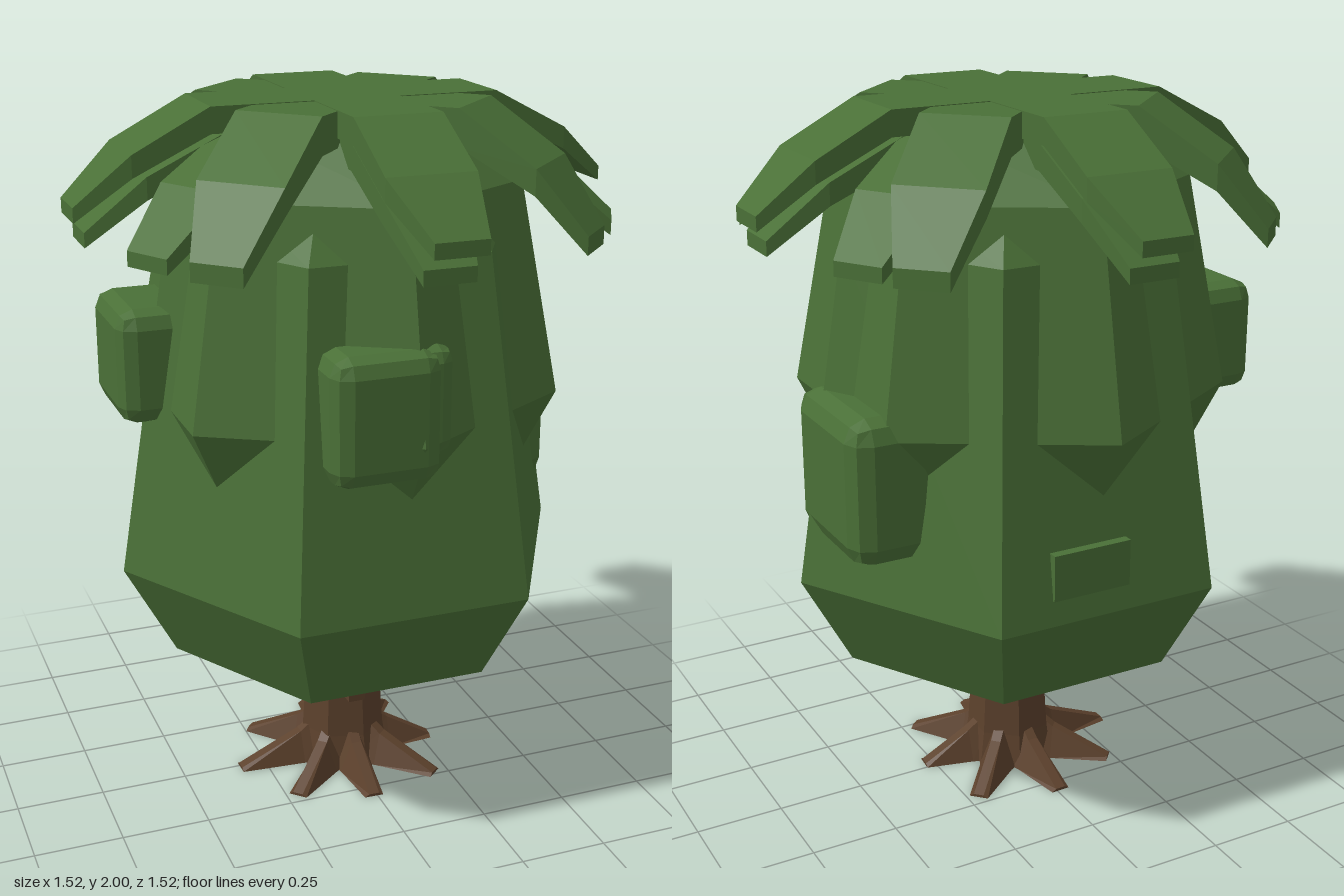
import * as THREE from 'three';
import { RoundedBoxGeometry } from 'three/addons/geometries/RoundedBoxGeometry.js';

const leafGreen = new THREE.MeshStandardMaterial({ color: 0x4a7037 });
leafGreen.name = 'leafGreen';
const barkBrown = new THREE.MeshStandardMaterial({ color: 0x5c412c });
barkBrown.name = 'barkBrown';

// Faceted mesh: every face gets its own flat normal
function facet(name, geometry, material) {
  const g = geometry.index ? geometry.toNonIndexed() : geometry;
  g.computeVertexNormals();
  const mesh = new THREE.Mesh(g, material);
  mesh.name = name;
  return mesh;
}

// Turned solid with few sides; profile is [radius, y] from bottom to top
function turned(name, profile, sides, material, turn = 0) {
  const pts = profile.map(([r, y]) => new THREE.Vector2(r, y));
  const mesh = facet(name, new THREE.LatheGeometry(pts, sides), material);
  mesh.rotation.y = turn;
  return mesh;
}

// Bent bar along +x; each section is [r, top, bottom, halfWidthTop, halfWidthBottom, shift]
function bar(name, sections, degrees, material) {
  const n = sections.length - 1;
  const g = new THREE.BoxGeometry(1, 1, 1, n, 1, 1);
  const p = g.attributes.position;
  for (let i = 0; i < p.count; i++) {
    const [r, top, bottom, wt, wb, shift = 0] = sections[Math.round((p.getX(i) + 0.5) * n)];
    const up = p.getY(i) > 0;
    p.setXYZ(i, r, up ? top : bottom, Math.sign(p.getZ(i)) * (up ? wt : wb) + shift);
  }
  const mesh = facet(name, g, material);
  mesh.rotation.y = -THREE.MathUtils.degToRad(degrees);
  return mesh;
}

// Box given by its ranges, with cut edges when bevel > 0
function block(name, [x0, x1], [y0, y1], [z0, z1], bevel, material) {
  const size = [x1 - x0, y1 - y0, z1 - z0];
  const g = bevel ? new RoundedBoxGeometry(...size, 1, bevel) : new THREE.BoxGeometry(...size);
  const mesh = facet(name, g, material);
  mesh.position.set((x0 + x1) / 2, (y0 + y1) / 2, (z0 + z1) / 2);
  return mesh;
}

export function createModel() {
  const tree = new THREE.Group();
  tree.name = 'tree';

  // Trunk with spreading roots
  const trunk = new THREE.Group();
  trunk.name = 'trunk';
  trunk.add(turned('trunkStem',
    [[0, 0], [0.14, 0], [0.125, 0.1], [0.115, 0.25], [0.135, 0.46], [0, 0.46]], 7, barkBrown, 0.2));
  const roots = [[5, 0.28], [50, 0.32], [92, 0.3], [135, 0.31], [178, 0.33], [222, 0.31], [268, 0.3], [315, 0.31]];
  for (const [angle, reach] of roots) {
    trunk.add(bar('root', [
      [0.05, 0.16, 0, 0.015, 0.075],
      [0.14, 0.09, 0, 0.015, 0.05],
      [reach, 0.008, 0, 0.015, 0.028],
    ], angle, barkBrown));
  }

  // Cut-off twigs
  trunk.add(block('twig', [-0.035, 0.015], [0.24, 0.29], [0.08, 0.155], 0, barkBrown));
  trunk.add(block('twig', [0.09, 0.165], [0.355, 0.405], [-0.035, 0.015], 0, barkBrown));
  trunk.add(block('twig', [-0.1, -0.05], [0.345, 0.38], [0.07, 0.155], 0, barkBrown));
  tree.add(trunk);

  // Two hexagonal foliage bodies, turned 30 degrees against each other
  const foliage = new THREE.Group();
  foliage.name = 'foliage';
  foliage.add(turned('lowerFoliage',
    [[0, 0.43], [0.51, 0.43], [0.655, 0.7], [0.5, 1.64], [0.36, 1.8], [0, 1.8]], 6, leafGreen, Math.PI / 6));
  foliage.add(turned('upperFoliage',
    [[0, 0.92], [0.47, 0.92], [0.605, 1.19], [0.49, 1.78], [0.33, 1.93], [0, 1.93]], 6, leafGreen));

  // Leaf clumps on the sides
  foliage.add(block('frontClump', [-0.24, 0.06], [1.09, 1.44], [0.36, 0.6], 0.05, leafGreen));
  foliage.add(block('frontSmallClump', [-0.06, 0.1], [1.15, 1.44], [0.36, 0.57], 0.04, leafGreen));
  foliage.add(block('sideClump', [0.36, 0.62], [0.84, 1.25], [-0.32, 0.09], 0.06, leafGreen));
  foliage.add(block('sideClump', [-0.65, -0.4], [1.14, 1.46], [-0.27, 0.06], 0.05, leafGreen));
  foliage.add(block('backClump', [-0.06, 0.17], [0.77, 0.9], [-0.565, -0.4], 0, leafGreen));
  tree.add(foliage);

  // Crown of drooping leaves
  const crown = new THREE.Group();
  crown.name = 'crown';
  const topLeaf = [
    [0, 2, 1.93, 0.12, 0.12], [0.4, 2, 1.93, 0.12, 0.12],
    [0.61, 1.89, 1.83, 0.12, 0.12], [0.76, 1.76, 1.72, 0.072, 0.072, -0.016],
  ];
  const diagonalLeaf = [
    [0, 1.998, 1.92, 0.12, 0.12], [0.38, 1.998, 1.9, 0.12, 0.12],
    [0.59, 1.86, 1.79, 0.12, 0.12], [0.72, 1.69, 1.64, 0.072, 0.072],
  ];
  const lowerLeaf = [
    [0, 1.94, 1.87, 0.11, 0.11], [0.36, 1.93, 1.86, 0.11, 0.11],
    [0.57, 1.83, 1.77, 0.11, 0.11], [0.73, 1.69, 1.65, 0.07, 0.07],
  ];
  for (let i = 0; i < 4; i++) {
    crown.add(bar('topLeaf', topLeaf, i * 90, leafGreen));
    crown.add(bar('diagonalLeaf', diagonalLeaf, i * 90 + 45, leafGreen));
    crown.add(bar('lowerLeaf', lowerLeaf, i * 90, leafGreen));
  }
  for (const angle of [29, 151, 210, 328]) {
    crown.add(bar('slantedLeaf', lowerLeaf, angle, leafGreen));
  }
  tree.add(crown);

  return tree;
}
